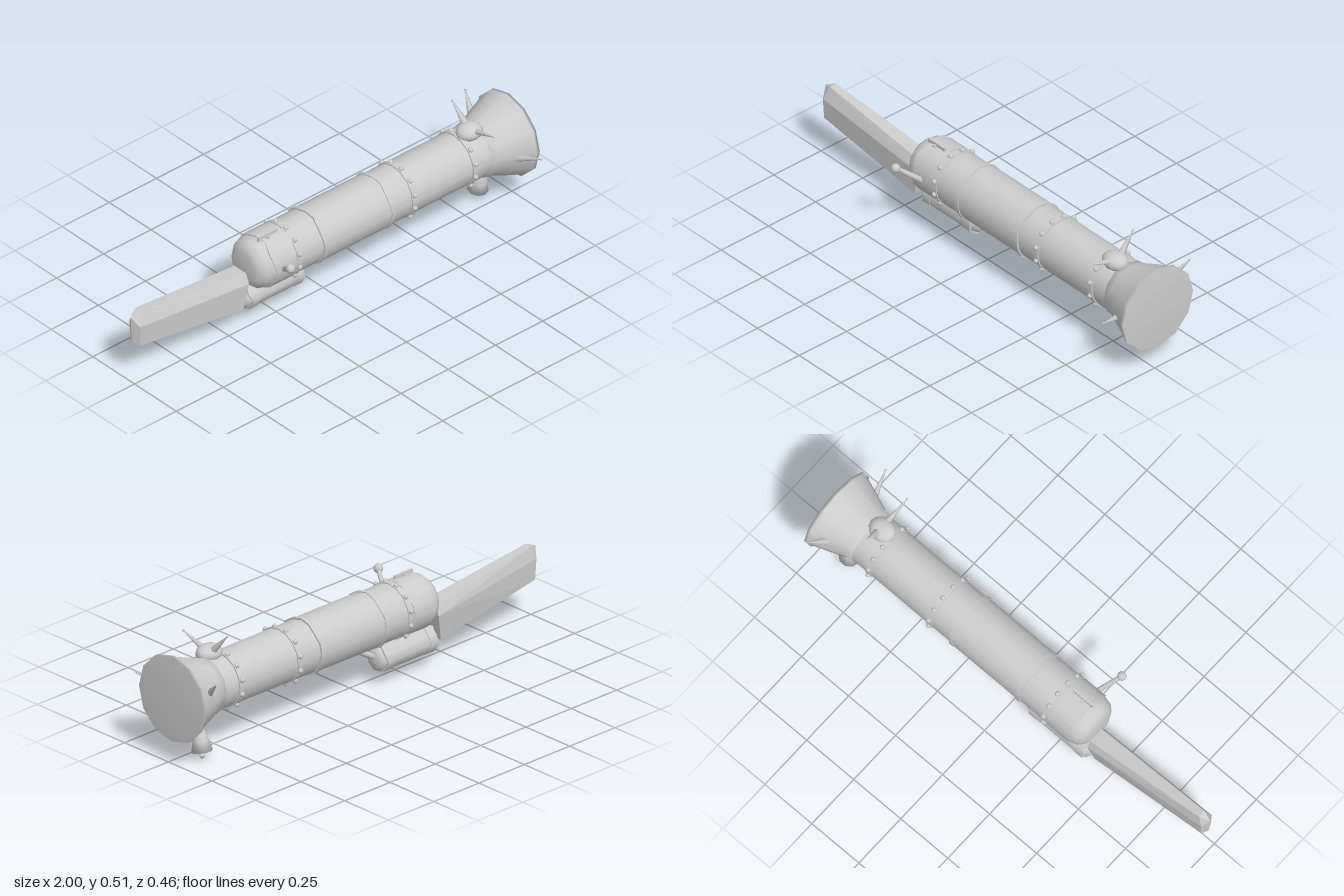
import * as THREE from 'three';
import { ConvexGeometry } from 'three/addons/geometries/ConvexGeometry.js';

export function createModel() {
  const root = new THREE.Group();
  const metal = new THREE.MeshStandardMaterial({ color: 0xcccccc });
  metal.name = 'plain grey';

  const add = (name, geo, parent = root, x = 0, y = 0, z = 0) => {
    const m = new THREE.Mesh(geo, metal);
    m.name = name;
    m.position.set(x, y, z);
    parent.add(m);
    return m;
  };
  // Solid of revolution around x from [x, radius] pairs
  const latheX = (pts, sides) =>
    new THREE.LatheGeometry(pts.map(([x, r]) => new THREE.Vector2(r, x)), sides).rotateZ(-Math.PI / 2);
  // Sleeve around x with wavy torn edges
  const sleeve = (x0, x1, r, sides, wave) => {
    const g = new THREE.CylinderGeometry(r, r, x1 - x0, sides);
    const p = g.attributes.position;
    for (let i = 0; i < p.count; i++) {
      if (Math.hypot(p.getX(i), p.getZ(i)) < r / 2) continue;
      const a = Math.atan2(p.getZ(i), p.getX(i));
      p.setY(i, p.getY(i) + wave * Math.sin(a * 5 + (p.getY(i) > 0 ? 1 : 0)));
    }
    return g.rotateZ(-Math.PI / 2).translate((x0 + x1) / 2, 0, 0);
  };
  // Tapered rod between two points
  const rod = (name, a, b, ra, rb, sides = 7) => {
    const from = new THREE.Vector3(...a), to = new THREE.Vector3(...b);
    const dir = to.clone().sub(from);
    const m = add(name, new THREE.CylinderGeometry(rb, ra, dir.length(), sides));
    m.position.copy(from).addScaledVector(dir, 0.5);
    m.quaternion.setFromUnitVectors(new THREE.Vector3(0, 1, 0), dir.normalize());
  };

  // Barrel with rounded rear
  const barrel = new THREE.Group();
  barrel.name = 'barrelAssembly';
  barrel.position.set(0, 0.282, -0.018);
  root.add(barrel);
  add('barrel', latheX([[-0.405, 0], [-0.405, 0.06], [-0.392, 0.088], [-0.37, 0.107], [-0.335, 0.116],
    [-0.2, 0.116], [0.3, 0.115], [0.83, 0.114]], 16), barrel);
  add('rearCap', sleeve(-0.34, -0.225, 0.119, 16, 0.008), barrel);
  add('middleSleeve', sleeve(-0.07, 0.28, 0.119, 16, 0.008), barrel);
  for (const x of [-0.075, 0.28]) add('sleeveRing', sleeve(x - 0.009, x + 0.009, 0.123, 16, 0.005), barrel);

  // Flared muzzle with closed face
  add('muzzle', latheX([[0.81, 0.1], [0.81, 0.121], [0.845, 0.126], [0.91, 0.152], [0.982, 0.178],
    [0.985, 0.186], [1.0, 0.186], [1.0, 0]], 12), barrel);

  // Riveted bands
  for (const x of [-0.21, 0.4, 0.722]) {
    add('rivetBand', sleeve(x - 0.013, x + 0.013, 0.12, 16, 0), barrel);
    for (let i = 0; i < 12; i++) {
      const a = ((i + 0.5) / 12) * Math.PI * 2;
      add('rivet', new THREE.SphereGeometry(0.011, 8, 6), barrel, x, Math.cos(a) * 0.12, Math.sin(a) * 0.12);
    }
  }

  // Stock: tapered slab with a ridged butt
  const pts = [
    [-1.0, 0.312, -0.025], [-0.992, 0.19, -0.025],
    [-0.96, 0.328, -0.012], [-0.96, 0.328, -0.045], [-0.978, 0.27, 0.01], [-0.978, 0.27, -0.055],
    [-0.975, 0.178, 0.006], [-0.975, 0.178, -0.05],
    [-0.405, 0.258, -0.005], [-0.405, 0.258, -0.075], [-0.405, 0.215, 0.014], [-0.405, 0.215, -0.09],
    [-0.43, 0.1, 0.008], [-0.43, 0.1, -0.075],
  ];
  add('stock', new ConvexGeometry(pts.map(p => new THREE.Vector3(...p))));

  // Tank under the rear
  const tank = new THREE.Group();
  tank.name = 'tankAssembly';
  tank.position.set(-0.245, 0.113, -0.05);
  root.add(tank);
  add('tank', latheX([[-0.165, 0], [-0.163, 0.03], [-0.148, 0.05], [-0.12, 0.057], [0.12, 0.057],
    [0.148, 0.05], [0.163, 0.03], [0.165, 0]], 10), tank);
  for (const s of [-1, 1]) add('tankCollar', sleeve(s * 0.12 - 0.02, s * 0.12 + 0.02, 0.06, 10, 0.009), tank);
  rod('tankPipe', [-0.09, 0.125, -0.05], [-0.01, 0.172, -0.035], 0.012, 0.012);

  // Side lever and top sight
  rod('leverStem', [-0.285, 0.27, 0.085], [-0.338, 0.352, 0.185], 0.013, 0.009);
  add('leverKnob', new THREE.SphereGeometry(0.02, 8, 7), root, -0.34, 0.353, 0.189);
  add('sight', new THREE.BoxGeometry(0.1, 0.022, 0.01), root, -0.3, 0.4, 0.004);
  add('sightPost', new THREE.BoxGeometry(0.014, 0.02, 0.03), root, -0.305, 0.392, 0.004);

  // Dome near the muzzle
  add('dome', new THREE.SphereGeometry(1, 12, 9).scale(0.06, 0.037, 0.05), root, 0.77, 0.405, 0.005);

  // Spikes with beaded tips on dome and muzzle
  const spikes = [
    [[0.775, 0.415, -0.015], [0.765, 0.504, -0.093], 0.018],
    [[0.775, 0.415, 0.03], [0.77, 0.452, 0.153], 0.014],
    [[0.92, 0.325, -0.15], [0.953, 0.396, -0.226], 0.017],
    [[0.915, 0.262, 0.115], [0.953, 0.3, 0.23], 0.015],
  ];
  for (const [a, b, r] of spikes) {
    rod('spike', a, b, r, 0.002, 6);
    add('spikeBead', new THREE.SphereGeometry(0.005, 6, 5), root, ...b);
  }

  // Hanging bell and clapper
  const bell = add('bell', new THREE.LatheGeometry([[0, -0.045], [0.044, -0.045], [0.032, 0], [0.024, 0.036],
    [0.015, 0.045], [0, 0.046]].map(p => new THREE.Vector2(...p)), 9), root, 0.88, 0.078, -0.06);
  bell.rotation.x = 0.2;
  add('clapper', new THREE.SphereGeometry(0.012, 6, 5), root, 0.88, 0.013, -0.069);

  return root;
}
